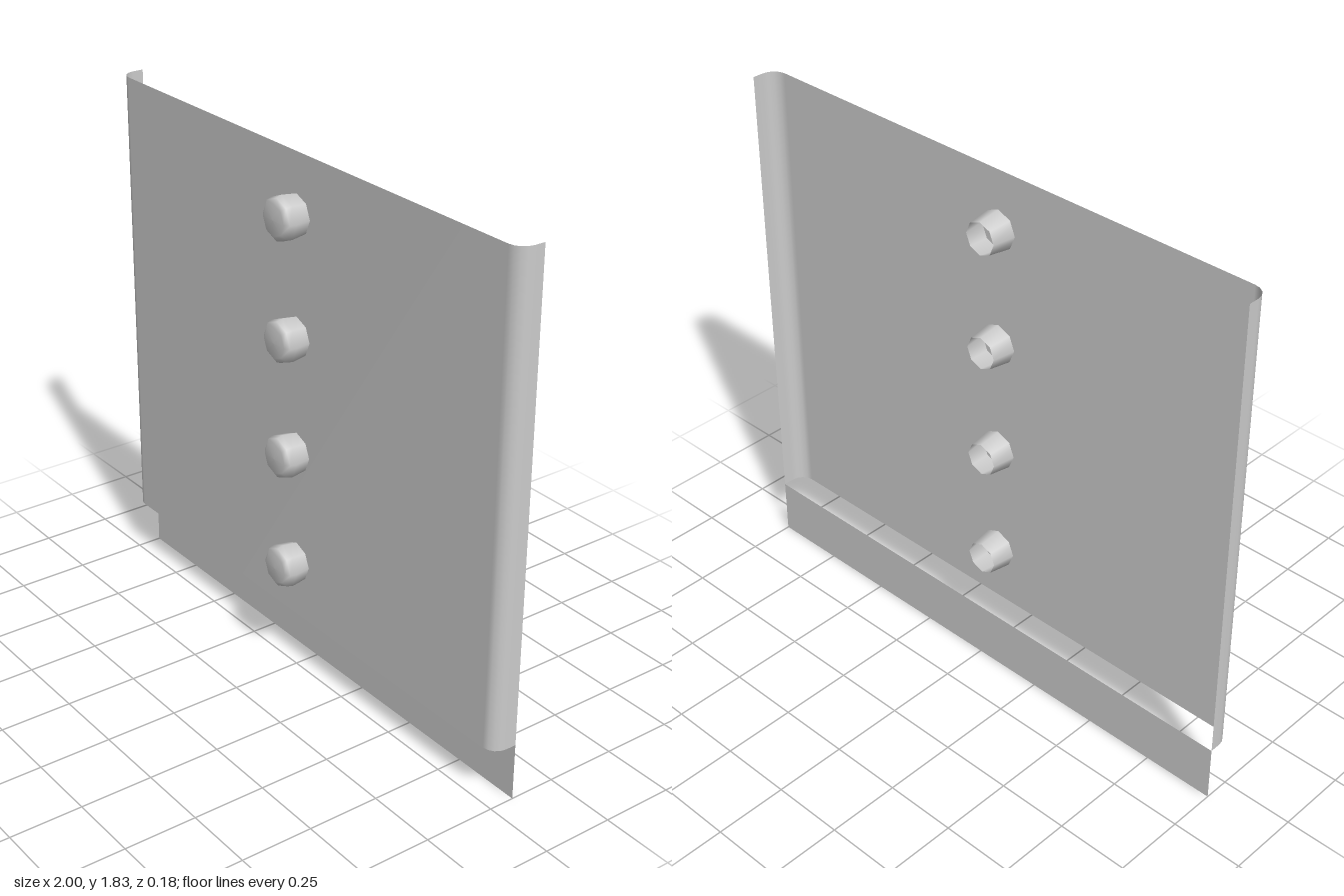
import * as THREE from 'three';

const material = new THREE.MeshStandardMaterial({ color: 0xcccccc, side: THREE.DoubleSide });

const BACK = -0.088;
const PANEL_BOTTOM = 0.2;
const PANEL_TOP = 1.83;

function addMesh(group, name, geometry) {
  const mesh = new THREE.Mesh(geometry, material);
  mesh.name = name;
  group.add(mesh);
  return mesh;
}

// Thin sheet with both side edges rolled back through a small rounded corner
function panelGeometry() {
  const radius = 0.05, steps = 4;
  const half = [[1, BACK]];
  for (let i = 0; i <= steps; i++) {
    const a = (i / steps) * Math.PI / 2;
    half.push([1 - radius + radius * Math.cos(a), -radius + radius * Math.sin(a)]);
  }
  const section = [...half.map(([x, z]) => [-x, z]), ...half.reverse()];

  const height = PANEL_TOP - PANEL_BOTTOM;
  const geometry = new THREE.PlaneGeometry(2, height, section.length - 1, 1);
  const pos = geometry.attributes.position;
  for (let i = 0; i < pos.count; i++) {
    const [x, z] = section[i % section.length];
    pos.setXYZ(i, x, pos.getY(i) + PANEL_BOTTOM + height / 2, z);
  }
  geometry.computeVertexNormals();
  return geometry;
}

// Eight-sided tapered knob, open at the back, with a rounded front
function knobGeometry() {
  const profile = [
    [0.057, -0.08], [0.076, 0.055], [0.07, 0.076], [0.053, 0.088], [0, 0.09],
  ].map(([r, y]) => new THREE.Vector2(r, y));
  return new THREE.LatheGeometry(profile, 8).rotateX(Math.PI / 2);
}

export function createModel() {
  const model = new THREE.Group();
  model.name = 'drawerFront';

  addMesh(model, 'frontPanel', panelGeometry());

  // Recessed flat strip below the panel
  const strip = addMesh(model, 'kickBoard', new THREE.PlaneGeometry(2, PANEL_BOTTOM));
  strip.position.set(0, PANEL_BOTTOM / 2, BACK);

  // Vertical row of knobs
  const knob = knobGeometry();
  for (let i = 0; i < 4; i++) {
    addMesh(model, `knob${i + 1}`, knob).position.y = 0.406 + i * 0.407;
  }
  return model;
}
